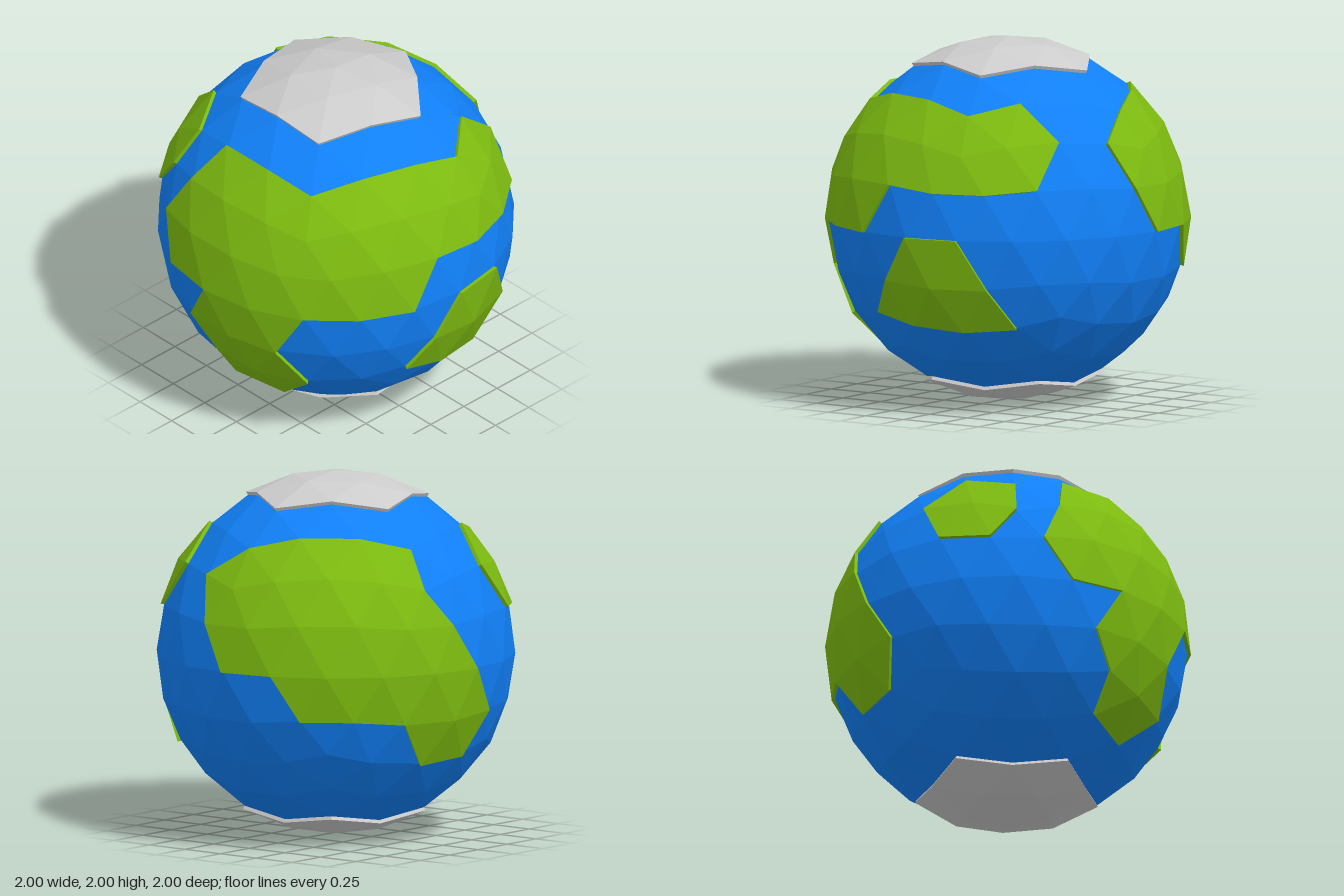
import * as THREE from 'three';

const OUTER = 1, OCEAN = 0.98;

// Latitude of each row of vertices, pole to pole
const ROW_LAT = [90, 75, 60, 45, 28.5, 15, 0, -15, -28.5, -45, -60, -75, -90];

// Coastlines as [longitude, row]; longitude 0 is +x, 90 is +z (front)
const COASTS = {
  frontContinent: [
    [36, 4], [49.6, 3], [72, 3], [94.4, 3], [121.6, 3], [144, 3], [166.4, 3], [193.6, 3],
    [200, 4], [207, 5], [198, 6], [180, 6], [189, 7], [180, 8], [180, 9], [157.6, 9],
    [144, 8], [153, 7], [144, 6], [108, 6], [99, 5], [81, 5], [63, 5], [45, 5],
  ],
  leftContinent: [
    [16, 4], [0, 3], [-22.4, 3], [-49.6, 3], [-72, 3], [-72, 4], [-81, 5], [-90, 6], [-99, 7],
    [-92, 8], [-72, 8], [-63, 7], [-45, 7], [-27, 7], [-18, 6], [0, 6], [9, 5],
  ],
  frontIsland: [
    [90, 6], [72, 6], [63, 7], [52, 8], [72, 8], [92, 8], [108, 8], [99, 7],
  ],
  backIsland: [
    [238.4, 3], [252, 4], [243, 5], [225, 5], [216, 4], [216, 3],
  ],
};

// Icosahedron standing on a corner, each edge split in four
function globe(radius) {
  const verts = [0, 1, 0];
  const ring = (y, offset) => {
    for (let i = 0; i < 5; i++) {
      const a = THREE.MathUtils.degToRad(offset + 72 * i);
      verts.push(Math.cos(a) * 2 / Math.sqrt(5), y, Math.sin(a) * 2 / Math.sqrt(5));
    }
  };
  ring(1 / Math.sqrt(5), 0);
  ring(-1 / Math.sqrt(5), 36);
  verts.push(0, -1, 0);
  const faces = [];
  for (let i = 0; i < 5; i++) {
    const j = (i + 1) % 5;
    const u = 1 + i, v = 1 + j, l = 6 + i, m = 6 + j;
    faces.push(0, v, u, u, v, l, l, v, m, l, m, 11);
  }
  return new THREE.PolyhedronGeometry(verts, faces, radius, 3);
}

// All triangles of the unit globe, with their centres
function globeFaces() {
  const pos = globe(OUTER).attributes.position;
  const faces = [];
  for (let i = 0; i < pos.count; i += 3) {
    const corners = [0, 1, 2].map((k) => new THREE.Vector3().fromBufferAttribute(pos, i + k));
    const centre = new THREE.Vector3();
    corners.forEach((c) => centre.addScaledVector(c, 1 / 3));
    faces.push({ corners, centre });
  }
  return faces;
}

function insidePolygon(x, y, poly) {
  let inside = false;
  for (let i = 0, j = poly.length - 1; i < poly.length; j = i++) {
    const [xi, yi] = poly[i], [xj, yj] = poly[j];
    if ((yi > y) !== (yj > y) && x < (xj - xi) * (y - yi) / (yj - yi) + xi) inside = !inside;
  }
  return inside;
}

function insideCoast(centre, coast) {
  const poly = coast.map(([lon, row]) => [lon, ROW_LAT[row]]);
  const lon = THREE.MathUtils.radToDeg(Math.atan2(centre.z, centre.x));
  const lat = THREE.MathUtils.radToDeg(Math.asin(centre.y / centre.length()));
  return [lon - 360, lon, lon + 360].some((l) => insidePolygon(l, lat, poly));
}

// Raised plate: the chosen triangles plus a wall along every open edge
function plateGeometry(faces) {
  const key = (v) => v.toArray().map((n) => Math.round(n * 1000) + 0).join();
  const edges = new Map();
  const points = [];
  for (const { corners } of faces) {
    points.push(...corners);
    corners.forEach((a, k) => {
      const b = corners[(k + 1) % 3];
      edges.set(key(a) + '|' + key(b), [a, b]);
    });
  }
  for (const [a, b] of edges.values()) {
    if (edges.has(key(b) + '|' + key(a))) continue;
    const aIn = a.clone().multiplyScalar(OCEAN);
    const bIn = b.clone().multiplyScalar(OCEAN);
    points.push(aIn, bIn, b, aIn, b, a);
  }
  const geometry = new THREE.BufferGeometry().setFromPoints(points);
  geometry.computeVertexNormals();
  return geometry;
}

export function createModel() {
  const model = new THREE.Group();
  model.name = 'planet';
  const paint = (color) => new THREE.MeshStandardMaterial({ color, flatShading: true });
  const water = paint(0x1180f8), land = paint(0x7dbb10), ice = paint(0xcccccc);

  const add = (name, geometry, material) => {
    const mesh = new THREE.Mesh(geometry, material);
    mesh.name = name;
    mesh.position.y = OUTER;
    model.add(mesh);
  };

  // Ocean
  add('ocean', globe(OCEAN), water);

  // Continents and islands
  const faces = globeFaces();
  for (const [name, coast] of Object.entries(COASTS)) {
    add(name, plateGeometry(faces.filter((f) => insideCoast(f.centre, coast))), land);
  }

  // Polar ice caps
  add('northIceCap', plateGeometry(faces.filter((f) => f.centre.y > 0.86)), ice);
  add('southIceCap', plateGeometry(faces.filter((f) => f.centre.y < -0.86)), ice);

  return model;
}
